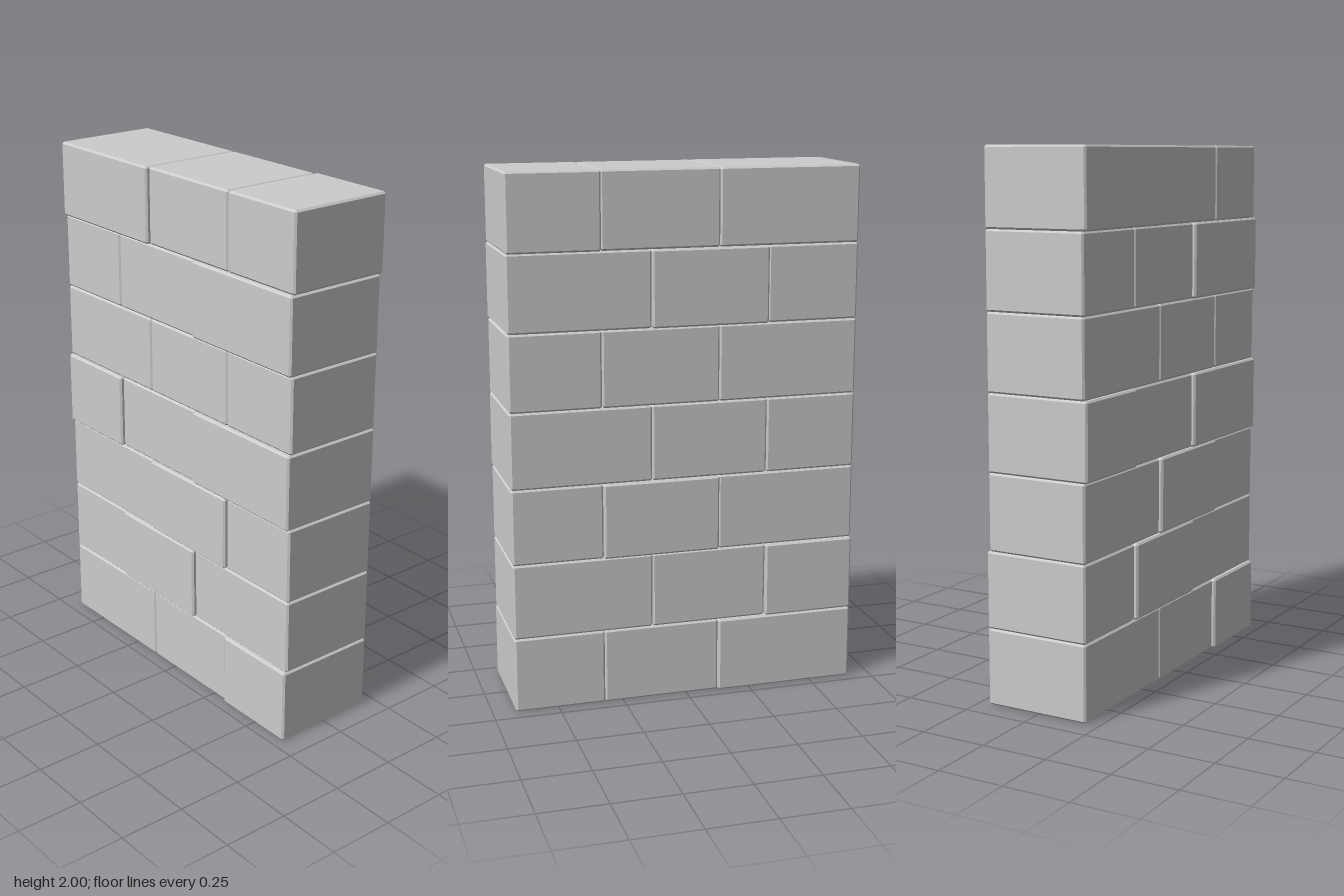
import * as THREE from 'three';
import { ConvexGeometry } from 'three/addons/geometries/ConvexGeometry.js';

const ROWS = 7, ROW_HEIGHT = 2 / ROWS, BEVEL = 0.007;
const HALF_WIDTH = 0.199, BULGE = 0.011;

// Joint positions along z, from front to rear, for the two alternating courses
const COURSES = [
  [0.663, 0.319, -0.126, -0.663],
  [0.663, 0.132, -0.313, -0.663],
];

// Blocks that stand proud of the wall, per course from the bottom up (0 = front, 2 = rear)
const PROUD_LEFT = [[2], [2], [1], [], [], [1], [0]]; // +x side
const PROUD_RIGHT = [[0], [1], [1], [0, 2], [], [0], [2]]; // -x side

// Box with every edge chamfered: three inset points at each corner
function chamferedBox(w, h, d, b) {
  const points = [];
  for (const sx of [-1, 1]) for (const sy of [-1, 1]) for (const sz of [-1, 1]) {
    const [x, y, z] = [sx * w / 2, sy * h / 2, sz * d / 2];
    points.push(
      new THREE.Vector3(x, y - sy * b, z - sz * b),
      new THREE.Vector3(x - sx * b, y, z - sz * b),
      new THREE.Vector3(x - sx * b, y - sy * b, z),
    );
  }
  return new ConvexGeometry(points);
}

export function createModel() {
  const wall = new THREE.Group();
  wall.name = 'brickWall';
  const stone = new THREE.MeshStandardMaterial({ color: 0xcccccc, flatShading: true });

  for (let row = 0; row < ROWS; row++) {
    const course = new THREE.Group();
    course.name = `course${row + 1}`;
    course.position.y = (row + 0.5) * ROW_HEIGHT;
    const joints = COURSES[row % 2];

    for (let i = 0; i < 3; i++) {
      const x1 = HALF_WIDTH + (PROUD_LEFT[row].includes(i) ? BULGE : 0);
      const x0 = -HALF_WIDTH - (PROUD_RIGHT[row].includes(i) ? BULGE : 0);
      const brick = new THREE.Mesh(
        chamferedBox(x1 - x0, ROW_HEIGHT, joints[i] - joints[i + 1], BEVEL), stone);
      brick.name = ['frontBrick', 'middleBrick', 'rearBrick'][i];
      brick.position.set((x0 + x1) / 2, 0, (joints[i] + joints[i + 1]) / 2);
      course.add(brick);
    }
    wall.add(course);
  }
  return wall;
}
